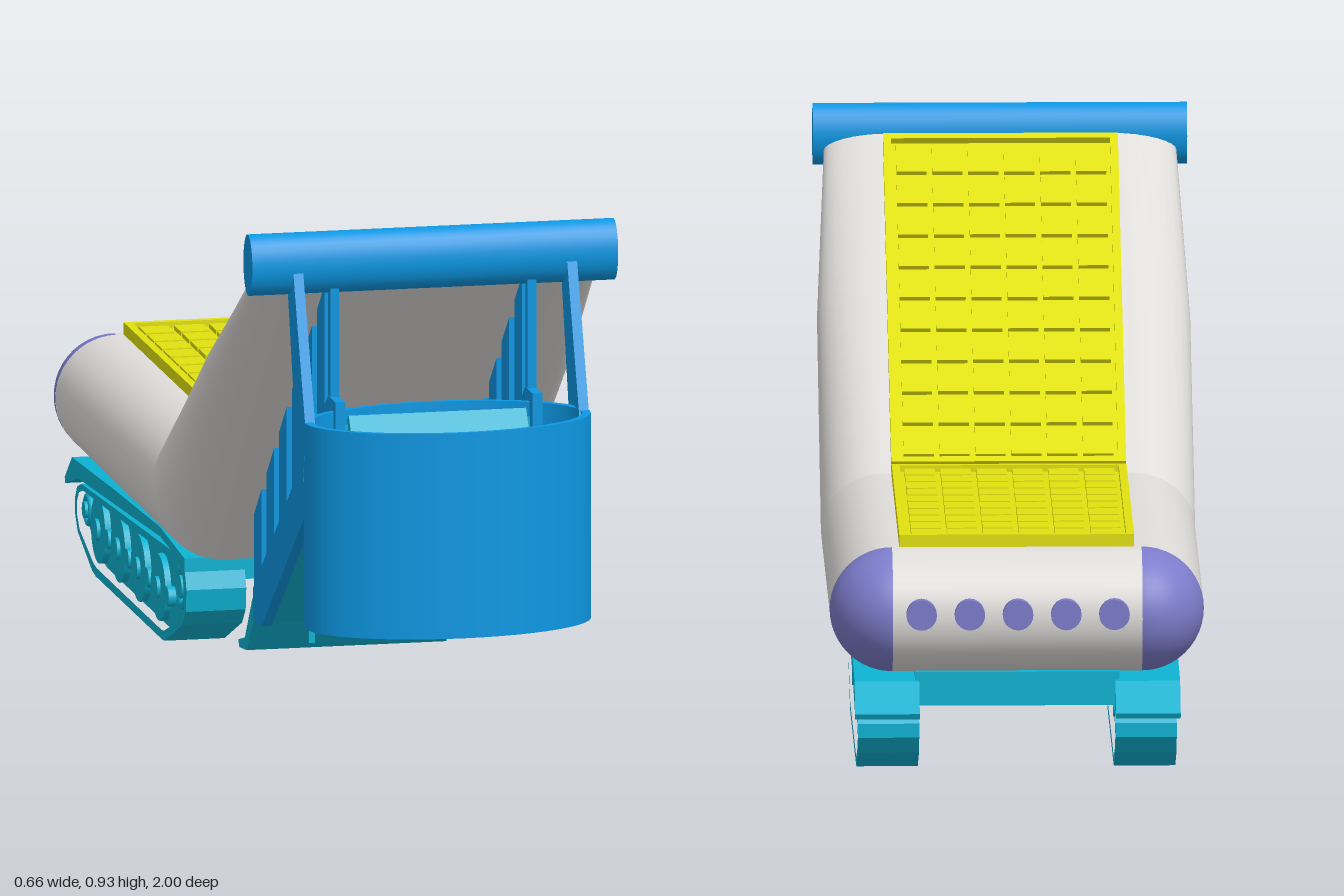
import * as THREE from 'three';
import { mergeGeometries } from 'three/addons/utils/BufferGeometryUtils.js';

const mat = (name, color, side = THREE.FrontSide) => {
  const m = new THREE.MeshStandardMaterial({ color, side });
  m.name = name;
  return m;
};

export function createModel() {
  const root = new THREE.Group();
  const white = mat('shell white', 0xdfddda);
  const blue = mat('frame blue', 0x0c97e2, THREE.DoubleSide);
  const cyan = mat('track cyan', 0x0cb2d2);
  const yellow = mat('panel yellow', 0xe0e010);
  const purple = mat('lamp purple', 0x7c7ccb);

  const add = (name, geo, material, parent = root) => {
    const m = new THREE.Mesh(geo, material);
    m.name = name;
    parent.add(m);
    return m;
  };
  const box = (w, h, d, x, y, z) => new THREE.BoxGeometry(w, h, d).translate(x, y, z);
  // Cylinder lying along x
  const axle = (r, w, x, y, z, n = 28) =>
    new THREE.CylinderGeometry(r, r, w, n).rotateZ(Math.PI / 2).translate(x, y, z);
  const shapeOf = (pts) => new THREE.Shape(pts.map(([z, y]) => new THREE.Vector2(z, y)));
  // Side profile in (z, y), extruded along x about a centre
  const plate = (shape, x, w) =>
    new THREE.ExtrudeGeometry(shape, { depth: w, bevelEnabled: false, curveSegments: 8 })
      .translate(0, 0, -w / 2).rotateY(-Math.PI / 2).translate(x, 0, 0);

  // Flat-sided oval cross-section between a top and a bottom point
  const ring = ({ top, bottom, w }) => {
    const pts = [], n = 16, r = 0.11;
    for (const s of [1, -1]) for (let i = 0; i <= n; i++) {
      const a = -Math.PI / 2 + Math.PI * i / n + (s < 0 ? Math.PI : 0);
      const t = (Math.sin(a) + 1) / 2;
      pts.push([s * (w - r) + r * Math.cos(a),
        bottom[1] + (top[1] - bottom[1]) * t, bottom[0] + (top[0] - bottom[0]) * t]);
    }
    return pts;
  };
  const loft = (sections) => {
    const rings = sections.map(ring), n = rings[0].length, index = [];
    for (let j = 0; j < rings.length - 1; j++) for (let i = 0; i < n; i++) {
      const a = j * n + i, b = j * n + (i + 1) % n;
      index.push(a, b, a + n, b, b + n, a + n);
    }
    const g = new THREE.BufferGeometry();
    g.setAttribute('position', new THREE.Float32BufferAttribute(rings.flat(2), 3));
    g.setIndex(index);
    g.computeVertexNormals();
    return g;
  };

  // Bent hull: level rear half and tapering raised half
  const bend = { top: [-0.12, 0.41], bottom: [0, 0.185], w: 0.33 };
  add('rearHull', loft([{ top: [-0.87, 0.41], bottom: [-0.87, 0.19], w: 0.33 }, bend]), white);
  add('raisedHull', loft([bend,
    { top: [0.35, 0.683], bottom: [0.37, 0.525], w: 0.329 },
    { top: [0.71, 0.89], bottom: [0.7, 0.825], w: 0.31 }]), white);
  add('hullTail', new THREE.CylinderGeometry(0.11, 0.11, 0.44, 24, 1, true, Math.PI / 2, Math.PI)
    .rotateZ(Math.PI / 2).scale(1, 1, 1.06).translate(0, 0.3, -0.87), white);
  for (const s of [1, -1]) {
    add('tailCorner', new THREE.SphereGeometry(0.11, 16, 24, s > 0 ? Math.PI : Math.PI * 1.5, Math.PI / 2)
      .scale(1, 1, 1.06).translate(s * 0.22, 0.3, -0.87), purple);
  }
  for (let i = -2; i <= 2; i++) {
    add('tailLamp', new THREE.CylinderGeometry(0.027, 0.027, 0.04, 20)
      .rotateX(Math.PI / 2).translate(i * 0.085, 0.31, -0.98), purple);
  }

  // Framed grid panels lying on the hull
  const gridPanel = (name, length, y, z, tilt) => {
    const parts = [box(0.4, 0.012, length, 0, 0.006, 0)];
    for (const s of [1, -1]) {
      parts.push(box(0.014, 0.024, length, s * 0.2, 0.012, 0));
      parts.push(box(0.414, 0.024, 0.014, 0, 0.012, s * (length / 2 - 0.007)));
    }
    const cw = 0.38 / 6, cl = (length - 0.04) / 10;
    for (let c = 0; c < 6; c++) for (let r = 0; r < 10; r++) {
      parts.push(box(cw - 0.01, 0.008, cl - 0.01, (c - 2.5) * cw, 0.016, (r - 4.5) * cl));
    }
    const m = add(name, mergeGeometries(parts), yellow);
    m.position.set(0, y, z);
    m.rotation.x = tilt;
  };
  gridPanel('rearPanel', 0.72, 0.408, -0.51, 0);
  gridPanel('raisedPanel', 0.9, 0.637, 0.275, -Math.atan2(0.48, 0.83));

  // Top roller and hanging arms
  add('topRoller', new THREE.CylinderGeometry(0.055, 0.055, 0.66, 32).rotateZ(Math.PI / 2)
    .scale(1, 1, 0.68).translate(0, 0.87, 0.723), blue);
  for (const s of [1, -1]) {
    add('hangingArm', plate(shapeOf([[0.705, 0.85], [0.755, 0.87], [0.86, 0.6], [0.84, 0.5], [0.79, 0.53]]),
      s * 0.247, 0.018), blue);
  }

  // Oval open bucket
  const bucketProfile = [[0, 0.24], [1, 0.24], [1, 0.61], [0.94, 0.61], [0.94, 0.27], [0, 0.27]];
  const bucket = bucketProfile.slice(0, -1).map((p, i) => new THREE.LatheGeometry(
    [p, bucketProfile[i + 1]].map(([x, y]) => new THREE.Vector2(x, y)), 48));
  add('bucket', mergeGeometries(bucket).scale(0.257, 1, 0.14).translate(0, 0, 0.86), blue);
  add('controlPanel', new THREE.BoxGeometry(0.32, 0.07, 0.03).rotateX(-0.6)
    .translate(0, 0.565, 0.785), cyan);

  // Slatted ramp
  for (const s of [1, -1]) {
    const ramp = new THREE.Group();
    ramp.name = 'rampSide';
    root.add(ramp);
    const x = s * 0.178;
    add('stringer', plate(shapeOf([[0.18, 0.1], [0.11, 0.1], [0.11, 0.155], [0.73, 0.63],
      [0.79, 0.63], [0.79, 0.565]]), x, 0.018), blue, ramp);
    for (let i = 0; i < 6; i++) {
      const z = 0.145 + i * 0.104, h = 0.031;
      const low = (q) => 0.13 + 0.76 * (q - 0.15), high = (q) => 0.2 + 0.913 * q;
      add('slat', plate(shapeOf([[z - h, low(z - h)], [z + h, low(z + h)],
        [z + h, high(z + h)], [z - h, high(z - h)]]), x, 0.016), blue, ramp);
    }
    add('frontSlat', box(0.016, 0.26, 0.02, x, 0.71, 0.735), blue, ramp);
  }
  add('rampFloor', plate(shapeOf([[0.12, 0.105], [0.18, 0.105], [0.77, 0.56], [0.77, 0.585],
    [0.12, 0.125]]), 0, 0.34), cyan);
  add('footPlate', plate(shapeOf([[0.15, 0.17], [0.12, 0.165], [0.07, 0.125], [0.01, 0.045],
    [-0.045, 0.03], [-0.035, 0.018], [0.025, 0.025], [0.09, 0.1]]), 0, 0.36), cyan);
  for (const x of [-0.07, 0.07]) add('footHook', box(0.01, 0.035, 0.012, x, 0.058, 0.055), cyan);

  // Belly plate between the tracks
  add('belly', box(0.36, 0.06, 0.86, 0, 0.165, -0.49), cyan);

  // Tracks with wheels and mudguards
  const belt = [[-0.06, 0.18], [-0.025, 0.165], [-0.01, 0.13], [-0.015, 0.09], [-0.045, 0.06],
    [-0.19, 0.002], [-0.21, 0], [-0.76, 0], [-0.79, 0.004], [-0.91, 0.05], [-0.933, 0.08],
    [-0.933, 0.105], [-0.915, 0.13], [-0.88, 0.142]];
  const inner = belt.map(([z, y]) => [-0.47 + (z + 0.47) * 0.965, 0.09 + (y - 0.09) * 0.82]);
  for (const s of [1, -1]) {
    const track = new THREE.Group();
    track.name = s > 0 ? 'leftTrack' : 'rightTrack';
    root.add(track);
    const x = s * 0.227;
    const outline = shapeOf(belt);
    outline.holes.push(shapeOf(inner));
    add('belt', plate(outline, x, 0.108), cyan, track);
    add('trackCore', plate(shapeOf(inner), x, 0.07), cyan, track);
    for (let i = 0; i < 4; i++) {
      const z = -0.28 - i * 0.166;
      add('roadWheel', axle(0.06, 0.092, x, 0.08, z), cyan, track);
      add('roadWheelHub', axle(0.02, 0.104, x, 0.08, z, 16), cyan, track);
      add('spacerWheel', axle(0.018, 0.098, x, 0.08, z + 0.083, 16), cyan, track);
    }
    for (const [r, y, z] of [[0.042, 0.12, -0.09], [0.03, 0.095, -0.88]]) {
      add('endWheel', new THREE.TorusGeometry(r * 0.8, r * 0.22, 8, 24)
        .rotateY(Math.PI / 2).translate(x + s * 0.04, y, z), cyan, track);
      add('endWheelHub', axle(r * 0.5, 0.1, x, y, z, 16), cyan, track);
    }
    add('mudguard', plate(shapeOf([[0, 0.19], [0, 0.165], [-0.04, 0.178], [-0.2, 0.188], [-0.88, 0.152],
      [-0.985, 0.122], [-0.99, 0.132], [-0.93, 0.18], [-0.55, 0.195], [-0.2, 0.205]]),
      s * 0.23, 0.114), cyan, track);
  }
  return root;
}
